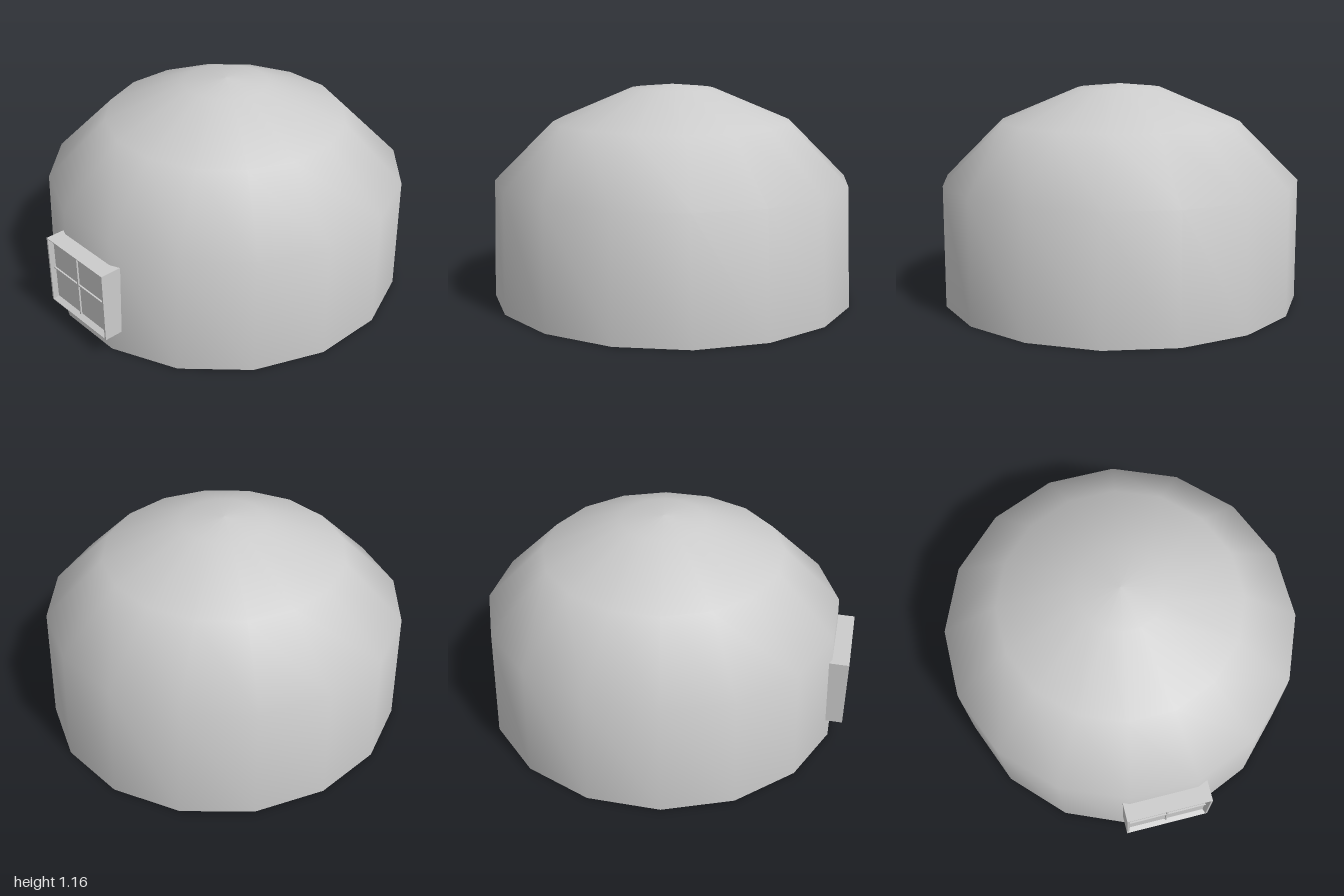
import * as THREE from 'three';

const grey = new THREE.MeshStandardMaterial({ color: 0xcccccc, side: THREE.DoubleSide });

function part(name, geometry, x = 0, y = 0, z = 0) {
  const mesh = new THREE.Mesh(geometry, grey);
  mesh.name = name;
  mesh.position.set(x, y, z);
  return mesh;
}

// Solid skinned over rectangular loops [halfWidth, halfHeight, z], capped at both ends
function rectLoft(loops) {
  const corners = [[-1, -1], [1, -1], [1, 1], [-1, 1]];
  const pos = loops.flatMap(([w, h, z]) => corners.flatMap(([x, y]) => [x * w, y * h, z]));
  const index = [0, 2, 1, 0, 3, 2];
  for (let i = 0; i < loops.length - 1; i++) {
    for (let j = 0; j < 4; j++) {
      const a = i * 4 + j, b = i * 4 + (j + 1) % 4;
      index.push(a, b, b + 4, a, b + 4, a + 4);
    }
  }
  const e = (loops.length - 1) * 4;
  index.push(e, e + 1, e + 2, e, e + 2, e + 3);
  const geometry = new THREE.BufferGeometry();
  geometry.setAttribute('position', new THREE.Float32BufferAttribute(pos, 3));
  geometry.setIndex(index);
  const flat = geometry.toNonIndexed();
  flat.computeVertexNormals();
  return flat;
}

export function createModel() {
  const model = new THREE.Group();
  model.name = 'domeHut';

  // Open-bottomed shell with sixteen sides, flats facing the axes
  const sides = 16;
  const toCorner = 1 / Math.cos(Math.PI / sides);
  const profile = [[0.94, 0], [0.94, 0.645], [0.63, 0.96], [0.222, 1.135], [0, 1.157]]
    .map(([r, y]) => new THREE.Vector2(r * toCorner, y));
  const shell = new THREE.LatheGeometry(profile, sides, Math.PI / sides);
  // The foot spreads slightly to the front and back
  const p = shell.attributes.position;
  for (let i = 0; i < p.count; i++) {
    if (p.getY(i) < 0.01) p.setZ(i, p.getZ(i) * 0.965 / 0.94);
  }
  model.add(part('domeShell', shell, 0, 0, -0.035));

  // Window box set through the front wall, with a shallow bevelled recess
  const win = new THREE.Group();
  win.name = 'window';
  win.position.set(0.01, 0.318, 0);
  win.add(part('windowFrame', rectLoft([
    [0.232, 0.192, 0.85], [0.232, 0.192, 1.0], [0.222, 0.188, 1.0], [0.21, 0.17, 0.975],
  ])));

  // Thin glazing bars
  win.add(part('verticalBar', new THREE.BoxGeometry(0.009, 0.345, 0.012), -0.005, 0, 0.978));
  win.add(part('horizontalBar', new THREE.BoxGeometry(0.43, 0.007, 0.012), 0, 0.01, 0.978));
  model.add(win);

  return model;
}
